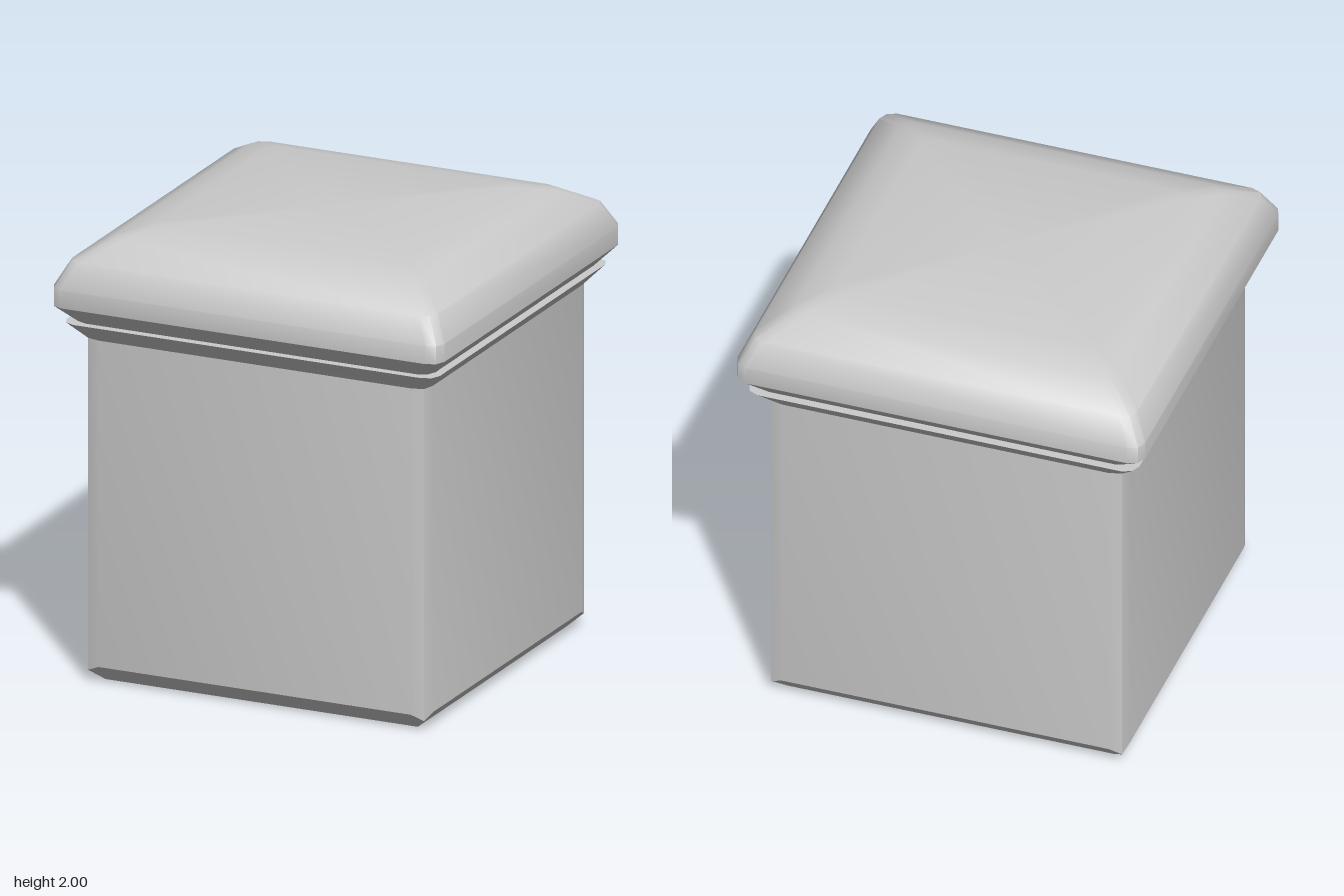
import * as THREE from 'three';
import { toCreasedNormals } from 'three/addons/utils/BufferGeometryUtils.js';

// Square ring with slightly bowed sides: h = half width, e = where the bow starts,
// k = corner position, yk = corner height. Runs from +x towards +z.
function ring({ y, h, e = h - 0.06, k = h - 0.018, yk = y }) {
  const points = [];
  for (let q = 0; q < 4; q++) {
    const c = Math.round(Math.cos(q * Math.PI / 2));
    const s = Math.round(Math.sin(q * Math.PI / 2));
    for (const [x, py, z] of [[h, y, -e], [h, y, e], [k, yk, k]]) {
      points.push([x * c - z * s, py, x * s + z * c]);
    }
  }
  return points;
}

// Skin over stacked rings, with optional flat caps
function loft(name, profile, { bottom = false, top = false } = {}) {
  const rings = profile.map(ring);
  const n = rings[0].length;
  const pos = [];
  const tri = (a, b, c) => pos.push(...a, ...b, ...c);
  for (let r = 0; r < rings.length - 1; r++) {
    for (let i = 0; i < n; i++) {
      const j = (i + 1) % n;
      const lo = rings[r], hi = rings[r + 1];
      tri(lo[i], hi[i], hi[j]);
      tri(lo[i], hi[j], lo[j]);
    }
  }
  const first = rings[0], last = rings[rings.length - 1];
  for (let i = 0; i < n; i++) {
    const j = (i + 1) % n;
    if (bottom) tri([0, first[0][1], 0], first[i], first[j]);
    if (top) tri([0, last[0][1], 0], last[j], last[i]);
  }
  const geometry = new THREE.BufferGeometry();
  geometry.setAttribute('position', new THREE.Float32BufferAttribute(pos, 3));
  const mesh = new THREE.Mesh(
    toCreasedNormals(geometry, THREE.MathUtils.degToRad(40)),
    new THREE.MeshStandardMaterial({ color: 0xcccccc, side: THREE.DoubleSide })
  );
  mesh.name = name;
  return mesh;
}

export function createModel() {
  const model = new THREE.Group();
  model.name = 'cushionedStool';

  // Box body with a bevelled foot
  model.add(loft('body', [
    { y: 0, h: 0.73, e: 0.73, k: 0.73 },
    { y: 0.075, h: 0.8, e: 0.73, k: 0.785, yk: 0.05 },
    { y: 1.53, h: 0.8, e: 0.73, k: 0.785 },
  ], { bottom: true }));

  // Flared collar with a narrow ledge on top
  model.add(loft('collar', [
    { y: 1.53, h: 0.8, e: 0.73, k: 0.785 },
    { y: 1.61, h: 0.873 },
    { y: 1.61, h: 0.835 },
  ]));

  // Padded lid, flaring out and then rounding over to a flat top
  model.add(loft('cushion', [
    { y: 1.61, h: 0.835 },
    { y: 1.69, h: 0.912 },
    { y: 1.77, h: 0.912 },
    { y: 1.88, h: 0.855 },
    { y: 1.965, h: 0.715 },
    { y: 2, h: 0.58 },
  ], { top: true }));

  return model;
}
